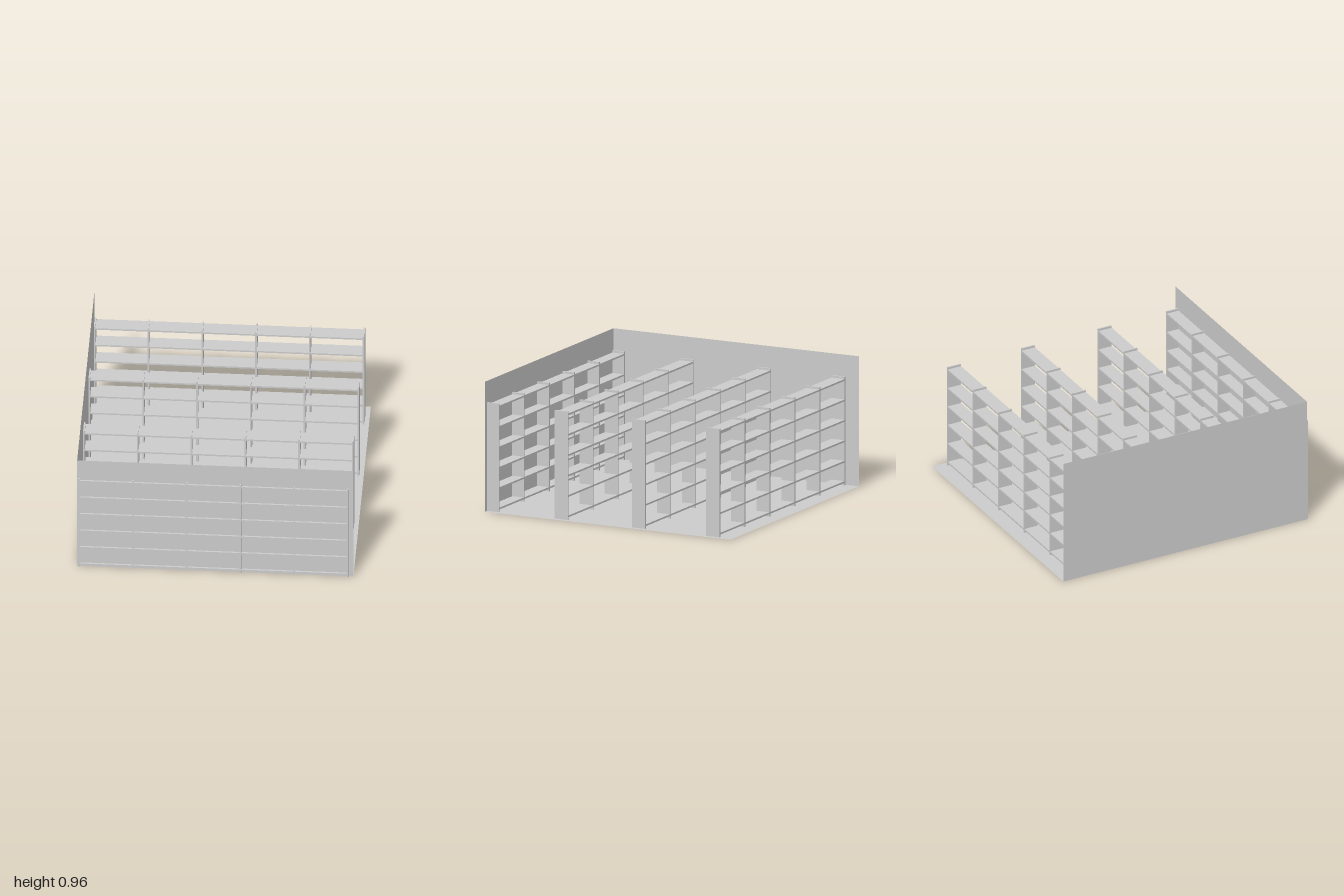
import * as THREE from 'three';

const material = new THREE.MeshStandardMaterial({ color: 0xcccccc });
const thin = new THREE.MeshStandardMaterial({ color: 0xcccccc, side: THREE.DoubleSide });

const HALF_X = 0.993, BACK = -1, FRONT = 0.987, WALL_H = 0.956;
const DEPTH = 0.108, UPRIGHT_H = 0.797, THICK = 0.012;
const BAYS = 5, FIRST_X = -0.979, BAY = 0.3866;
const TIERS = 6, FIRST_Y = 0.025, TIER = 0.15;

function box(name, w, h, d, x, y, z) {
  const mesh = new THREE.Mesh(new THREE.BoxGeometry(w, h, d), material);
  mesh.name = name;
  mesh.position.set(x, y, z);
  return mesh;
}

function sheet(name, w, h) {
  const mesh = new THREE.Mesh(new THREE.PlaneGeometry(w, h), thin);
  mesh.name = name;
  return mesh;
}

// One long rack: uprights with shelf boards fitted between them
function createRack() {
  const rack = new THREE.Group();
  rack.name = 'shelfRack';
  for (let i = 0; i <= BAYS; i++) {
    rack.add(box('upright', THICK, UPRIGHT_H, DEPTH, FIRST_X + i * BAY, UPRIGHT_H / 2, 0));
  }
  for (let i = 0; i < BAYS; i++) {
    for (let j = 0; j < TIERS; j++) {
      rack.add(box('shelf', BAY - THICK, 0.013, DEPTH,
        FIRST_X + (i + 0.5) * BAY, FIRST_Y + j * TIER, 0));
    }
  }
  return rack;
}

export function createModel() {
  const model = new THREE.Group();
  model.name = 'shelvingRoom';
  const length = FRONT - BACK, midZ = (FRONT + BACK) / 2;

  // Floor
  const floor = sheet('floor', HALF_X * 2, length);
  floor.rotation.x = -Math.PI / 2;
  floor.position.z = midZ;

  // Two walls meeting at the front corner
  const frontWall = sheet('frontWall', HALF_X * 2, WALL_H);
  frontWall.position.set(0, WALL_H / 2, FRONT);
  const sideWall = sheet('sideWall', length, WALL_H);
  sideWall.rotation.y = Math.PI / 2;
  sideWall.position.set(-HALF_X, WALL_H / 2, midZ);
  model.add(floor, frontWall, sideWall);

  // Four rows of racks; the front row pokes slightly through the wall
  for (const z of [0.946, 0.388, -0.239, -0.841]) {
    const rack = createRack();
    rack.position.z = z;
    model.add(rack);
  }
  return model;
}
